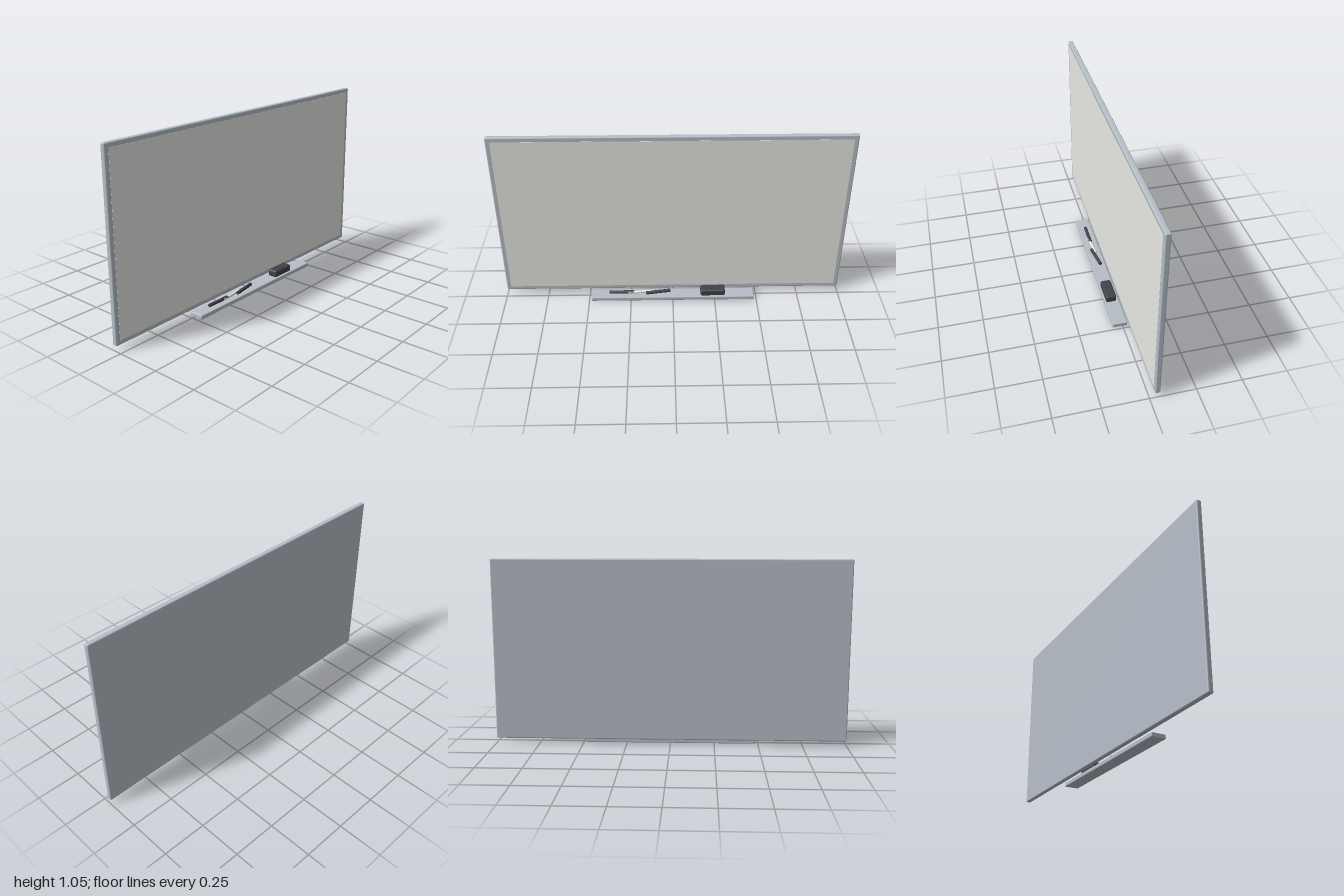
import * as THREE from 'three';
import { RoundedBoxGeometry } from 'three/addons/geometries/RoundedBoxGeometry.js';

const material = (name, color) => {
  const m = new THREE.MeshStandardMaterial({ color });
  m.name = name;
  return m;
};

export function createModel() {
  const group = new THREE.Group();
  const metal = material('grey aluminium', 0xb6bec8);
  const white = material('board white', 0xf2f2ee);
  const dark = material('charcoal', 0x424147);

  const add = (name, geometry, mat, x, y, z) => {
    const mesh = new THREE.Mesh(geometry, mat);
    mesh.name = name;
    mesh.position.set(x, y, z);
    group.add(mesh);
    return mesh;
  };
  const rounded = (w, h, d, r) => new RoundedBoxGeometry(w, h, d, 3, r);

  // Framed board with a thin writing surface on its front
  add('boardFrame', rounded(2, 1.027, 0.029, 0.007), metal, 0, 0.541, -0.0425);
  add('writingSurface', new THREE.BoxGeometry(1.95, 0.977, 0.002), white, 0, 0.541, -0.028);

  // Pen tray under the board
  add('tray', rounded(0.97, 0.025, 0.083, 0.005), metal, 0, 0.0125, 0.0155);

  // Eraser resting on the tray
  add('eraser', rounded(0.146, 0.042, 0.06, 0.01), dark, 0.238, 0.046, 0.021);

  // Markers lying on the tray: x, z, turn, radius, colour
  const markers = [
    [-0.308, 0.016, 0, 0.01, dark],
    [-0.196, 0.014, 0.1, 0.008, white],
    [-0.088, 0.016, 0.16, 0.01, dark],
  ];
  markers.forEach(([x, z, turn, r, mat], i) => {
    const body = new THREE.CylinderGeometry(r, r, 0.145, 16).rotateZ(Math.PI / 2);
    add('marker' + (i + 1), body, mat, x, 0.025 + r, z).rotation.y = turn;
  });
  return group;
}
